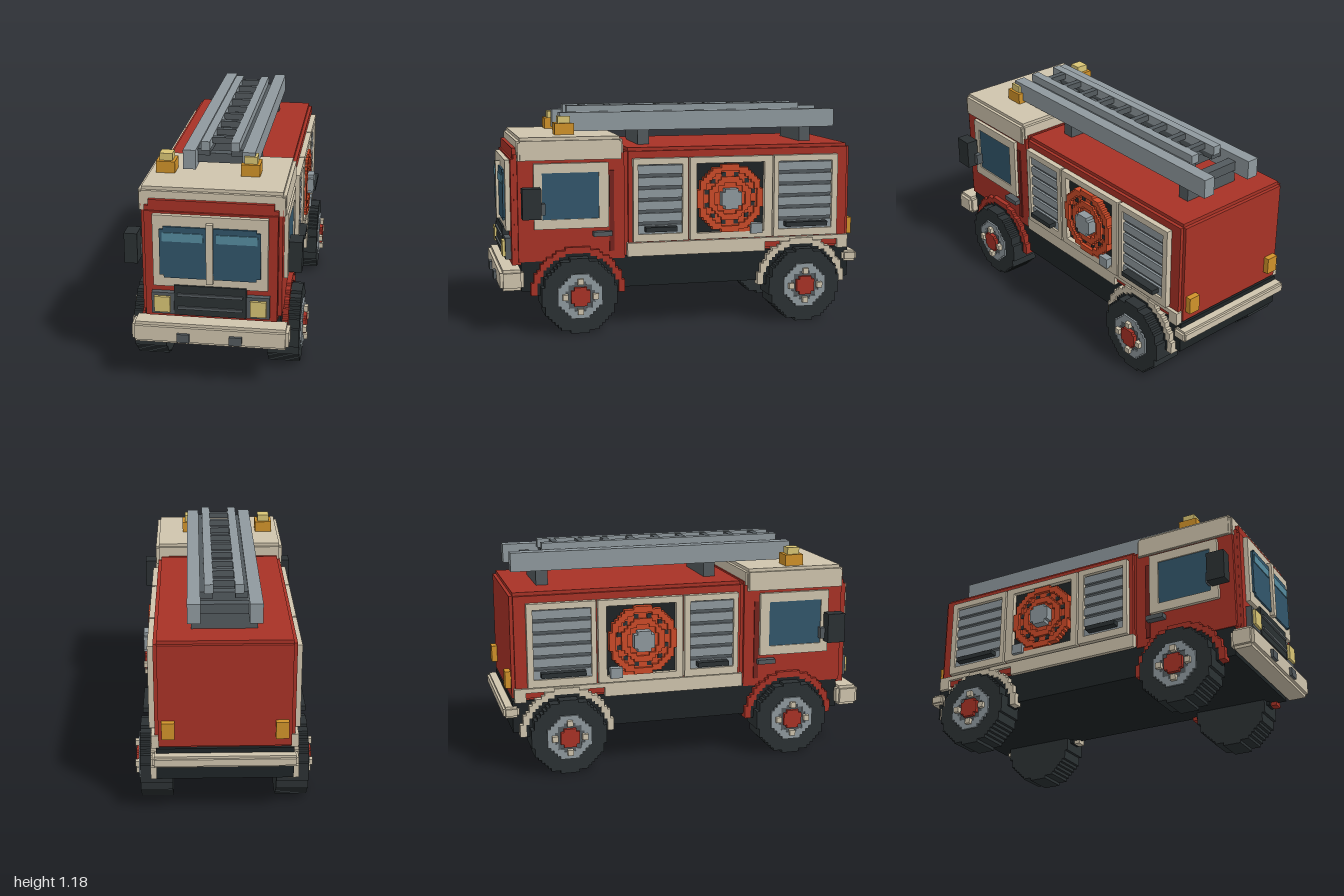
import * as THREE from 'three';

const VOXEL = 0.0167;
const mat = (color) => new THREE.MeshStandardMaterial({ color, flatShading: true });
const M = {
  red: mat(0xa83226), darkRed: mat(0x74231d), cream: mat(0xcfc4ad), dark: mat(0x2b3133),
  black: mat(0x1e2426), grey: mat(0x535a5e), light: mat(0x8f999e), glass: mat(0x32566b),
  shine: mat(0x568ca0), hose: mat(0xcc4a28), amber: mat(0xd0922a), yellow: mat(0xd9c575),
};

export function createModel() {
  const model = new THREE.Group();
  model.name = 'fireTruck';

  const add = (name, geometry, material, x = 0, y = 0, z = 0) => {
    const mesh = new THREE.Mesh(geometry, material);
    mesh.name = name;
    mesh.position.set(x, y, z);
    model.add(mesh);
    return mesh;
  };
  // Box from its low and high limits on each axis
  const box = (name, m, x0, x1, y0, y1, z0, z1) =>
    add(name, new THREE.BoxGeometry(Math.abs(x1 - x0), y1 - y0, z1 - z0), m,
      (x0 + x1) / 2, (y0 + y1) / 2, (z0 + z1) / 2);
  // The same box on both sides of the truck
  const pair = (name, m, x0, x1, ...yz) => {
    for (const s of [1, -1]) box(name, m, s * x0, s * x1, ...yz);
  };
  // Box with notched, voxel-style edges
  const notched = (name, m, b, x0, x1, y0, y1, z0, z1) => {
    for (const [i, j, k] of [[0, b, b], [b, 0, b], [b, b, 0]])
      box(name, m, x0 + i, x1 - i, y0 + j, y1 - j, z0 + k, z1 - k);
  };

  // One stepped quarter circle, from the x axis up to the y axis
  const quarter = (r) => {
    const pts = [], n = Math.round(r / VOXEL), step = r / n;
    for (let j = 0; j < n; j++) {
      const w = Math.round(Math.sqrt(r * r - ((j + 0.5) * step) ** 2) / step) * step;
      pts.push([w, j * step], [w, (j + 1) * step]);
    }
    return pts;
  };
  const half = (r) => {
    const q = quarter(r);
    return [...q, ...q.map(([x, y]) => [-x, y]).reverse()];
  };
  const vectors = (pts) => pts.map(([x, y]) => new THREE.Vector2(x, y));
  const circle = (r) => vectors([...half(r), ...half(r).map(([x, y]) => [-x, -y])]);

  // Extrude a shape sideways between x0 and x1 on both sides
  const sidePair = (name, m, shape, x0, x1, y, z) => {
    for (const s of [1, -1]) {
      const g = new THREE.ExtrudeGeometry(shape, { depth: x1 - x0, bevelEnabled: false });
      g.rotateY(Math.PI / 2);
      add(name, g, m, s > 0 ? x0 : -x1, y, z);
    }
  };
  const disc = (name, m, r, inner, ...place) => {
    const shape = new THREE.Shape(circle(r));
    if (inner) shape.holes.push(new THREE.Path(circle(inner)));
    sidePair(name, m, shape, ...place);
  };
  const arch = (name, m, r, inner, ...place) =>
    sidePair(name, m, new THREE.Shape(vectors([...half(r), ...half(inner).reverse()])), ...place);

  // Rectangular frame on both flanks
  const sideFrame = (name, m, x0, x1, [y0, y1, z0, z1], [a0, a1, b0, b1]) => {
    pair(name, m, x0, x1, y0, a0, z0, z1);
    pair(name, m, x0, x1, a1, y1, z0, z1);
    pair(name, m, x0, x1, a0, a1, z0, b0);
    pair(name, m, x0, x1, a0, a1, b1, z1);
  };

  // Chassis and bumpers
  box('chassis', M.black, -0.345, 0.345, 0.22, 0.39, -0.95, 0.87);
  notched('frontBumper', M.cream, 0.016, -0.395, 0.395, 0.235, 0.345, 0.86, 0.985);
  pair('towHook', M.grey, 0.1, 0.163, 0.255, 0.3, 0.97, 1);
  notched('rearBumper', M.cream, 0.012, -0.365, 0.365, 0.305, 0.365, -1, -0.915);

  // Wheels and arches
  for (const z of [0.573, -0.667]) {
    disc('tyre', M.dark, 0.2, 0, 0.265, 0.43, 0.2, z);
    disc('rim', M.light, 0.118, 0.078, 0.42, 0.44, 0.2, z);
    disc('hubPlate', M.grey, 0.085, 0, 0.42, 0.435, 0.2, z);
    disc('hub', M.red, 0.05, 0, 0.42, 0.455, 0.2, z);
    for (let i = 0; i < 4; i++) {
      const y = 0.2 + 0.08 * Math.round(Math.sin(i * Math.PI / 2));
      const c = z + 0.08 * Math.round(Math.cos(i * Math.PI / 2));
      pair('wheelBolt', M.cream, 0.42, 0.46, y - 0.015, y + 0.015, c - 0.015, c + 0.015);
    }
    arch('wheelWell', M.black, 0.217, 0.2, 0.3, 0.37, 0.2, z);
    arch('wheelArch', z > 0 ? M.red : M.cream, 0.25, 0.217, 0.32, 0.375, 0.2, z);
  }

  // Cab
  notched('cab', M.red, 0.018, -0.35, 0.35, 0.36, 0.96, 0.3, 0.9);
  box('cabFront', M.red, -0.33, 0.33, 0.36, 0.92, 0.88, 0.915);
  box('cabFrontTop', M.red, -0.31, 0.31, 0.9, 0.975, 0.88, 0.905);
  notched('cabRoof', M.cream, 0.017, -0.365, 0.365, 0.895, 1.03, 0.325, 0.885);
  box('roofRim', M.cream, -0.36, 0.36, 0.91, 1.005, 0.335, 0.88);

  // Windscreen
  box('windscreenFrame', M.cream, -0.285, 0.285, 0.535, 0.91, 0.9, 0.94);
  box('windscreenPillar', M.cream, -0.017, 0.017, 0.565, 0.88, 0.93, 0.965);
  pair('windscreen', M.glass, 0.017, 0.23, 0.585, 0.855, 0.93, 0.95);
  pair('windscreenEdge', M.glass, 0.23, 0.25, 0.6, 0.84, 0.93, 0.95);
  pair('windscreenShine', M.shine, 0.033, 0.235, 0.78, 0.825, 0.94, 0.955);

  // Grille and headlights
  box('grille', M.dark, -0.18, 0.18, 0.385, 0.545, 0.9, 0.95);
  for (const y of [0.42, 0.49]) box('grilleBar', M.grey, -0.163, 0.163, y, y + 0.014, 0.94, 0.96);
  pair('headlightFrame', M.grey, 0.182, 0.295, 0.385, 0.5, 0.9, 0.945);
  pair('headlight', M.yellow, 0.2, 0.28, 0.4, 0.483, 0.93, 0.96);

  // Doors and mirrors
  sideFrame('doorWindowFrame', M.cream, 0.33, 0.37, [0.55, 0.895, 0.405, 0.8], [0.6, 0.845, 0.457, 0.757]);
  pair('doorWindow', M.glass, 0.33, 0.363, 0.6, 0.845, 0.457, 0.757);
  pair('doorSeam', M.darkRed, 0.34, 0.357, 0.42, 0.85, 0.375, 0.4);
  pair('doorHandle', M.grey, 0.34, 0.39, 0.505, 0.53, 0.39, 0.49);
  pair('mirrorArm', M.grey, 0.36, 0.4, 0.63, 0.69, 0.745, 0.79);
  pair('mirror', M.dark, 0.378, 0.445, 0.615, 0.775, 0.77, 0.868);

  // Rear body
  notched('rearBody', M.red, 0.018, -0.35, 0.35, 0.385, 0.965, -0.95, 0.315);
  pair('sill', M.cream, 0.33, 0.367, 0.385, 0.458, -0.46, 0.305);
  pair('rearSill', M.cream, 0.33, 0.367, 0.385, 0.458, -0.94, -0.88);
  pair('archSill', M.cream, 0.33, 0.367, 0.435, 0.458, -0.88, -0.46);
  pair('rearIndicator', M.amber, 0.25, 0.315, 0.455, 0.545, -0.98, -0.94);

  // Shuttered lockers
  for (const [z0, z1] of [[-0.025, 0.275], [-0.87, -0.505]]) {
    const a = z0 + 0.032, b = z1 - 0.026;
    sideFrame('lockerFrame', M.cream, 0.33, 0.38, [0.465, 0.91, z0, z1], [0.505, 0.877, a, b]);
    pair('shutterBack', M.grey, 0.33, 0.356, 0.505, 0.877, a, b);
    for (let i = 0; i < 6; i++) {
      const y = 0.505 + i * 0.064;
      pair('shutterSlat', M.light, 0.33, 0.368, y, y + 0.046, a, b);
    }
    pair('shutterHandle', M.dark, 0.36, 0.41, 0.52, 0.545, a + 0.035, b - 0.035);
  }

  // Hose reel locker
  const hz = -0.255, hy = 0.685;
  sideFrame('reelFrame', M.cream, 0.33, 0.38, [0.465, 0.91, -0.495, -0.035], [0.5, 0.877, -0.45, -0.072]);
  pair('reelRecess', M.black, 0.33, 0.353, 0.5, 0.877, -0.45, -0.072);
  disc('hoseOuter', M.hose, 0.183, 0.15, 0.35, 0.39, hy, hz);
  disc('hoseMiddle', M.hose, 0.155, 0, 0.35, 0.373, hy, hz);
  disc('hoseInner', M.hose, 0.117, 0.085, 0.36, 0.388, hy, hz);
  disc('reelHub', M.light, 0.055, 0, 0.36, 0.42, hy, hz);
  for (let i = 0; i < 12; i++) {
    const t = (i + 0.5) * Math.PI / 6, y = hy + 0.133 * Math.sin(t), z = hz + 0.133 * Math.cos(t);
    pair('reelHole', M.dark, 0.365, 0.378, y - 0.012, y + 0.012, z - 0.012, z + 0.012);
  }
  pair('hoseTail', M.hose, 0.35, 0.38, 0.5, 0.525, -0.39, -0.22);
  pair('nozzle', M.light, 0.36, 0.4, 0.49, 0.545, -0.435, -0.37);

  // Roof ladder in two sections
  for (const z of [0.175, -0.75])
    box('ladderSupport', M.grey, -0.165, 0.165, 0.955, 1.05, z - 0.032, z + 0.032);
  pair('lowerRail', M.light, 0.118, 0.183, 1.045, 1.145, -0.915, 0.635);
  pair('upperRail', M.light, 0.053, 0.098, 1.13, 1.177, -0.735, 0.585);
  for (let i = 0; i < 9; i++) {
    const z = -0.8 + i * 0.167;
    box('lowerRung', M.grey, -0.12, 0.12, 1.06, 1.11, z - 0.025, z + 0.025);
  }
  for (let i = 0; i < 9; i++) {
    const z = -0.655 + i * 0.1425;
    box('upperRung', M.grey, -0.056, 0.056, 1.143, 1.175, z - 0.016, z + 0.016);
  }
  pair('ladderCoupling', M.grey, 0.055, 0.12, 1.1, 1.135, -0.72, 0.57);

  // Roof beacons
  for (const x of [-0.267, 0.163]) {
    box('beaconBase', M.amber, x - 0.048, x + 0.048, 1.03, 1.09, 0.562, 0.665);
    box('beaconLamp', M.yellow, x - 0.033, x + 0.033, 1.065, 1.127, 0.58, 0.647);
  }
  return model;
}
